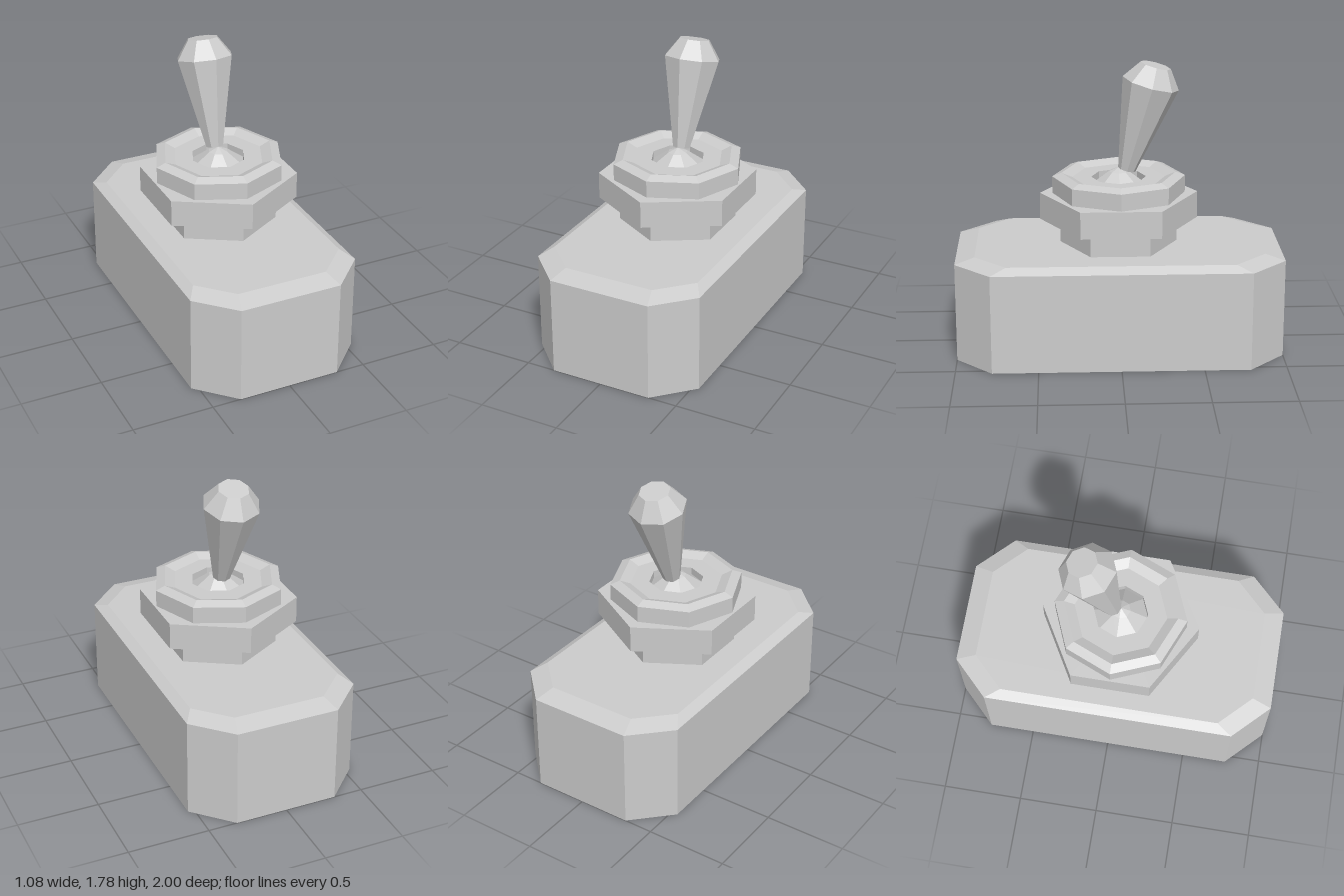
import * as THREE from 'three';

const material = new THREE.MeshStandardMaterial({
  color: 0xcccccc, flatShading: true, side: THREE.DoubleSide,
});

function addPart(parent, name, geometry) {
  const mesh = new THREE.Mesh(geometry, material);
  mesh.name = name;
  parent.add(mesh);
  return mesh;
}

// Faceted turned part; profile is [radius, y] from bottom to top
function turned(profile, sides) {
  return new THREE.LatheGeometry(profile.map(([r, y]) => new THREE.Vector2(r, y)), sides);
}

// Rectangle with cut corners, as [x, z] points; (hx, hz) half size, (cx, cz) ends of the cuts
function cutRectangle(hx, hz, cx, cz) {
  return [[cx, hz], [hx, cz], [hx, -cz], [cx, -hz], [-cx, -hz], [-hx, -cz], [-hx, cz], [-cx, hz]];
}

// Walls joining a stack of equal-length outlines
function loftWalls(rings) {
  const positions = [];
  const index = [];
  const n = rings[0].outline.length;
  rings.forEach(({ outline, y }) => outline.forEach(([x, z]) => positions.push(x, y, z)));
  for (let r = 0; r < rings.length - 1; r++) {
    for (let i = 0; i < n; i++) {
      const a = r * n + i;
      const b = r * n + (i + 1) % n;
      index.push(a, b, b + n, a, b + n, a + n);
    }
  }
  const geometry = new THREE.BufferGeometry();
  geometry.setAttribute('position', new THREE.Float32BufferAttribute(positions, 3));
  geometry.setIndex(index);
  geometry.computeVertexNormals();
  return geometry;
}

export function createModel() {
  const model = new THREE.Group();
  model.name = 'toggleSwitch';

  // Hollow housing, open underneath, with a bevelled upper edge
  const housing = new THREE.Group();
  housing.name = 'housing';
  model.add(housing);
  const outer = cutRectangle(0.54, 1, 0.32, 0.78);
  const inner = cutRectangle(0.48, 0.88, 0.285, 0.685);
  addPart(housing, 'housingWalls', loftWalls([
    { outline: outer, y: 0 },
    { outline: outer, y: 0.615 },
    { outline: inner, y: 0.65 },
  ]));

  // Top plate with a hexagonal opening for the neck
  const plate = new THREE.Shape(inner.map(([x, z]) => new THREE.Vector2(x, -z)));
  const opening = [];
  for (let i = 0; i < 6; i++) {
    const a = i * Math.PI / 3;
    opening.push(new THREE.Vector2(0.36 * Math.sin(a), 0.36 * Math.cos(a)));
  }
  plate.holes.push(new THREE.Path(opening));
  addPart(housing, 'topPlate', new THREE.ShapeGeometry(plate).rotateX(-Math.PI / 2).translate(0, 0.65, 0));

  // Hexagonal neck and its inner floor
  addPart(model, 'neck', turned([[0.36, 0.65], [0.36, 0.8]], 6));
  addPart(model, 'neckFloor', turned([[0, 0.685], [0.36, 0.685]], 6));

  // Hexagonal nut
  addPart(model, 'nut', new THREE.CylinderGeometry(0.485, 0.485, 0.167, 6).translate(0, 0.882, 0));

  // Octagonal collar with a dished top and a central well
  addPart(model, 'collar', turned([
    [0.408, 0.965], [0.408, 1.07], [0.35, 1.092], [0.285, 1.065], [0.168, 1.065], [0.168, 1.02],
  ], 8));

  // Pivot cone in the well
  addPart(model, 'pivot', turned([[0.168, 1.02], [0.06, 1.1], [0, 1.126]], 8));

  // Lever leaning to the back
  const lever = addPart(model, 'lever', turned([
    [0, 0], [0.055, 0], [0.176, 0.556], [0.095, 0.67], [0, 0.67],
  ], 8));
  lever.position.set(0, 1.11, -0.05);
  lever.rotation.x = -THREE.MathUtils.degToRad(15);

  return model;
}
